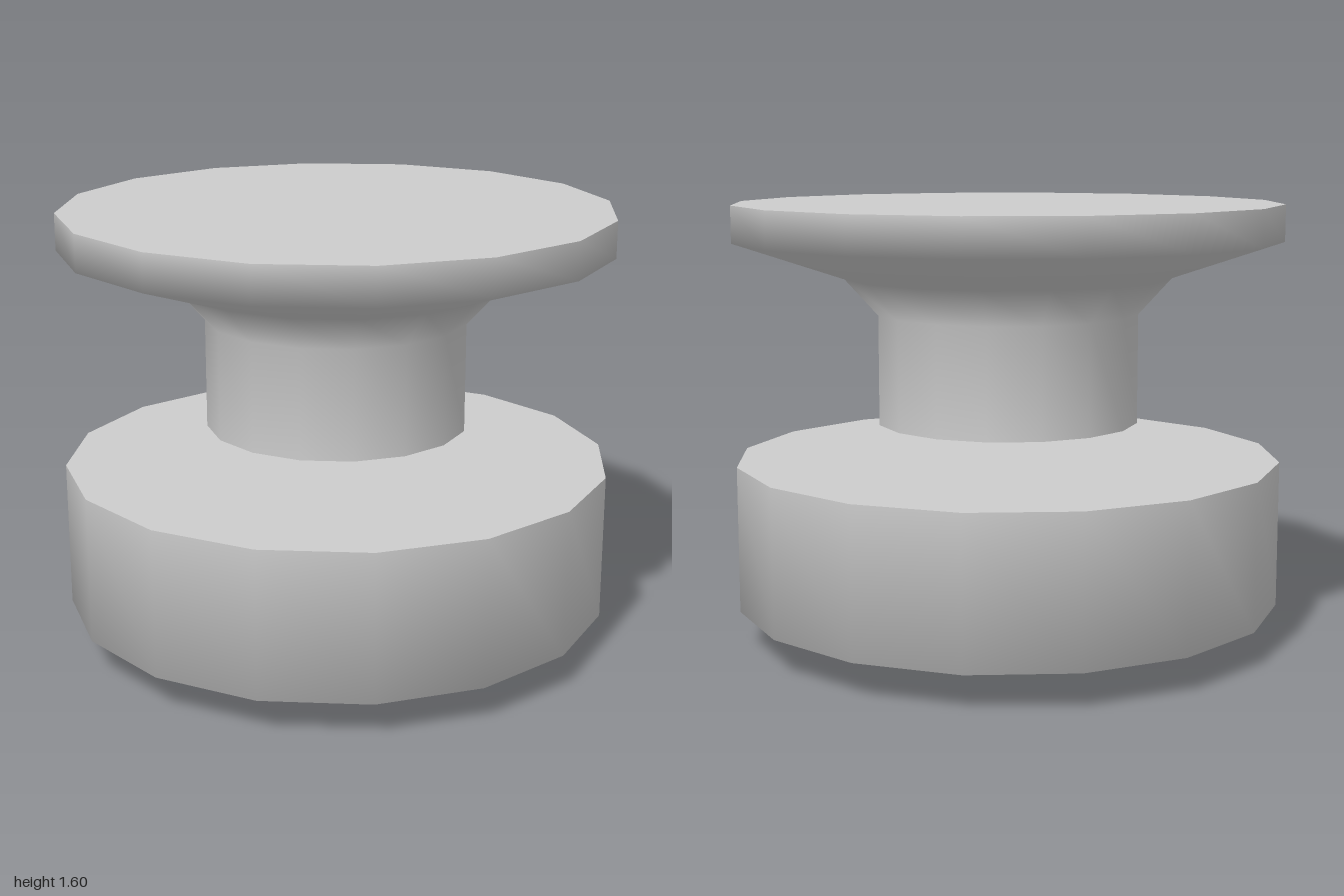
import * as THREE from 'three';

const SIDES = 16;

export function createModel() {
  const model = new THREE.Group();
  model.name = 'spool';
  const grey = new THREE.MeshStandardMaterial({ color: 0xcccccc });
  grey.name = 'light grey';

  // Smooth turned wall, closed with a flat disc at each end.
  // The profile lists [radius, height] from bottom to top.
  function turnedPart(name, profile) {
    const part = new THREE.Group();
    part.name = name;
    const points = profile.map(([r, y]) => new THREE.Vector2(r, y));
    const wall = new THREE.Mesh(new THREE.LatheGeometry(points, SIDES), grey);
    wall.name = name + 'Wall';
    part.add(wall);

    const addCap = (capName, [radius, y], facing) => {
      const geometry = new THREE.CircleGeometry(radius, SIDES);
      geometry.rotateX(-facing * Math.PI / 2);
      const cap = new THREE.Mesh(geometry, grey);
      cap.position.y = y;
      cap.name = name + capName;
      part.add(cap);
    };
    addCap('Bottom', profile[0], -1);
    addCap('Top', profile[profile.length - 1], 1);
    model.add(part);
  }

  // Wide drum with a tapered foot
  turnedPart('base', [[0.48, 0], [0.72, 0.133], [1, 0.133], [1, 0.667]]);

  // Separate stem flaring out to a flat round head
  turnedPart('head', [[0.48, 0.8], [0.48, 1.2], [0.6, 1.333], [1, 1.467], [1, 1.6]]);

  return model;
}
